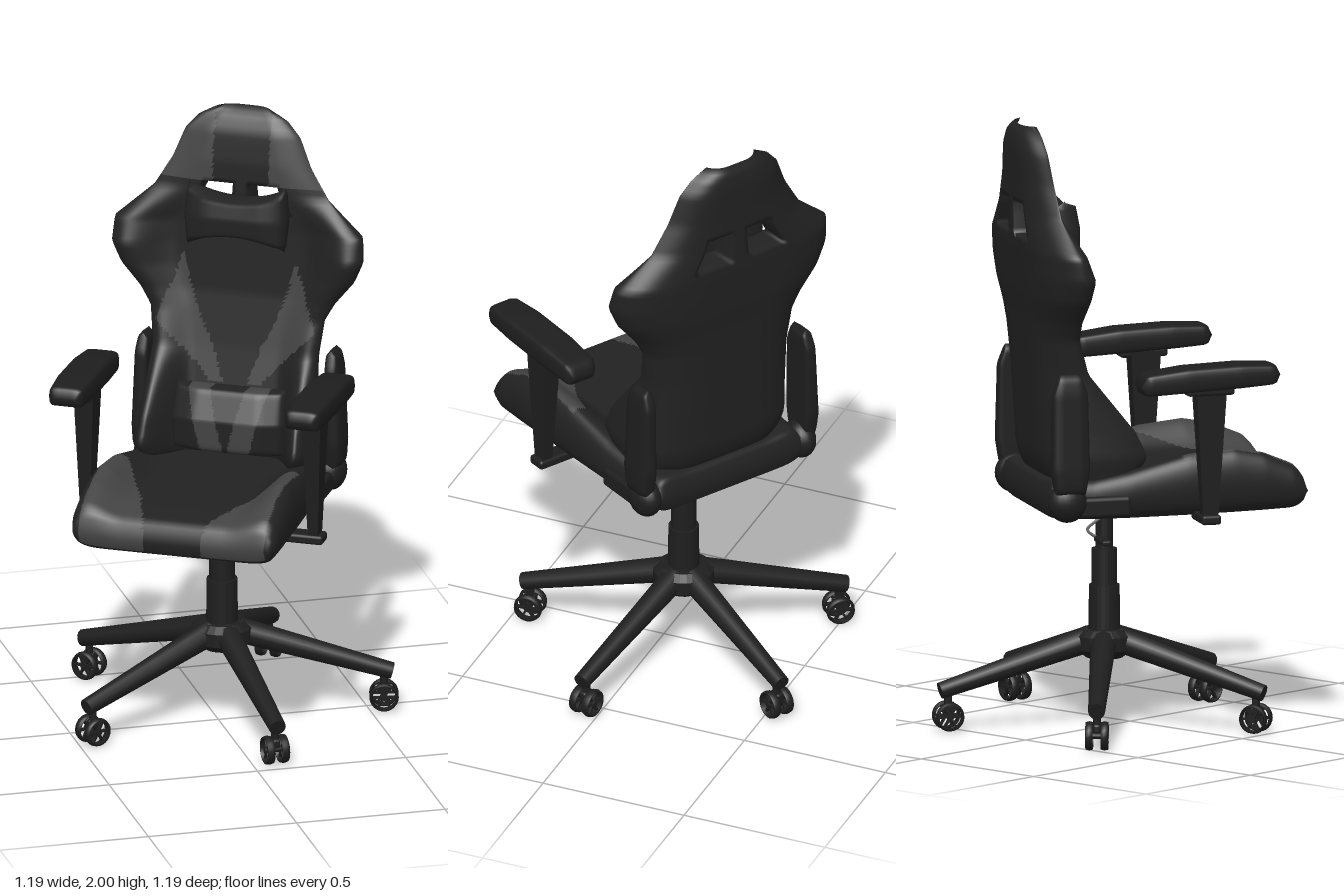
import * as THREE from 'three';
import { mergeVertices } from 'three/addons/utils/BufferGeometryUtils.js';
import { RoundedBoxGeometry } from 'three/addons/geometries/RoundedBoxGeometry.js';

const material = (name, color) => Object.assign(new THREE.MeshStandardMaterial({ color }), { name });
const upholstery = material('black upholstery', 0x222222);
const accent = material('grey accent fabric', 0x444444);
const plastic = material('black plastic', 0x1e1e1e);
const steel = material('grey steel', 0x6a6a6a);

function add(parent, name, geometry, mat, x = 0, y = 0, z = 0) {
  const mesh = new THREE.Mesh(geometry, mat);
  mesh.name = name;
  mesh.position.set(x, y, z);
  parent.add(mesh);
  return mesh;
}

// Linear lookup of column c in a table whose first column is the key
function lookup(table, w, c) {
  let i = 0;
  while (i < table.length - 2 && w > table[i + 1][0]) i++;
  const a = table[i], b = table[i + 1];
  return THREE.MathUtils.lerp(a[c], b[c], THREE.MathUtils.clamp((w - a[0]) / (b[0] - a[0]), 0, 1));
}

// Padded panel lofted along y. Rows: [y, half width, back z, middle front z, side front z]
function panel(table, { cols = 32, rows = 38, bow = 0, blunt = 20, hole = () => false } = {}) {
  const pos = [], index = [];
  const y0 = table[0][0], y1 = table[table.length - 1][0];
  for (let k = 0; k <= rows; k++) {
    const y = THREE.MathUtils.lerp(y0, y1, k / rows);
    const end = Math.sqrt(1 - Math.abs(1 - 2 * k / rows) ** blunt);
    for (let i = 0; i <= cols; i++) {
      const t = 2 * i / cols - 1;
      const s = t * (1.5 - 0.5 * t * t);
      const back = lookup(table, y, 2) + bow * s ** 4;
      const front = THREE.MathUtils.lerp(lookup(table, y, 3), lookup(table, y, 4),
        THREE.MathUtils.smoothstep(Math.abs(s), 0.5, 0.92));
      const mid = (back + front) / 2;
      const half = (front - back) / 2 * end * Math.sqrt(Math.max(0, 1 - s ** 14));
      const x = s * lookup(table, y, 1);
      pos.push(x, y, mid + half, x, y, mid - half);
    }
  }
  const v = (i, k) => 2 * (k * (cols + 1) + i);
  for (let k = 0; k < rows; k++) for (let i = 0; i < cols; i++) {
    const c = [v(i, k), v(i + 1, k), v(i + 1, k + 1), v(i, k + 1)];
    if (!hole(i, k)) {
      index.push(c[0], c[1], c[2], c[0], c[2], c[3]);
      index.push(c[0] + 1, c[2] + 1, c[1] + 1, c[0] + 1, c[3] + 1, c[2] + 1);
      continue;
    }
    // Walls of an opening
    [[0, -1], [1, 0], [0, 1], [-1, 0]].forEach(([di, dk], e) => {
      if (hole(i + di, k + dk)) return;
      const p = c[e], q = c[(e + 1) % 4];
      index.push(p + 1, p, q, p + 1, q, q + 1);
    });
  }
  const geo = new THREE.BufferGeometry();
  geo.setAttribute('position', new THREE.Float32BufferAttribute(pos, 3));
  geo.setIndex(index);
  const merged = mergeVertices(geo);
  merged.computeVertexNormals();
  return merged;
}

// Split faces in two material groups by a rule on their centre and normal
function paint(geo, isAccent) {
  const sets = [[], []], p = geo.attributes.position, idx = geo.index.array;
  const tri = new THREE.Triangle(), c = new THREE.Vector3(), n = new THREE.Vector3();
  for (let f = 0; f < idx.length; f += 3) {
    tri.setFromAttributeAndIndices(p, idx[f], idx[f + 1], idx[f + 2]);
    tri.getMidpoint(c);
    tri.getNormal(n);
    sets[isAccent(c, n) ? 1 : 0].push(idx[f], idx[f + 1], idx[f + 2]);
  }
  geo.setIndex([...sets[0], ...sets[1]]);
  geo.addGroup(0, sets[0].length, 0);
  geo.addGroup(sets[0].length, sets[1].length, 1);
  return geo;
}
const fabrics = [upholstery, accent];

function buildBackrest(chair) {
  const profile = [
    [0.82, 0.275, -0.25, -0.10, 0.0], [0.86, 0.285, -0.25, -0.10, 0.06], [0.92, 0.295, -0.26, -0.11, 0.09],
    [1.0, 0.29, -0.265, -0.13, 0.05], [1.2, 0.28, -0.28, -0.17, -0.12], [1.32, 0.295, -0.29, -0.19, -0.155],
    [1.38, 0.33, -0.295, -0.2, -0.155], [1.46, 0.395, -0.305, -0.205, -0.14], [1.53, 0.425, -0.31, -0.21, -0.13],
    [1.61, 0.42, -0.315, -0.215, -0.16], [1.72, 0.295, -0.315, -0.215, -0.22], [1.82, 0.235, -0.315, -0.22, -0.235],
    [1.92, 0.195, -0.32, -0.235, -0.25], [1.97, 0.15, -0.32, -0.255, -0.265], [2.0, 0.095, -0.315, -0.275, -0.275]];
  // Pair of strap openings below the head section
  const hole = (i, k) => k >= 53 && k < 60 && ((i >= 34 && i < 42) || (i >= 22 && i < 30));
  const inner = [[1.08, 0.04], [1.2, 0.08], [1.3, 0.13], [1.4, 0.165], [1.5, 0.19]];
  const outer = [[1.08, 0.08], [1.2, 0.19], [1.28, 0.27], [1.34, 0.25], [1.4, 0.225], [1.5, 0.19]];
  const geo = paint(panel(profile, { cols: 64, rows: 76, bow: 0.075, hole }), (c, n) => {
    const u = Math.abs(c.x);
    if (n.z < 0.25) return false;
    if (c.y > 1.75) return u > 0.095;
    return c.y > 1.08 && c.y < 1.5 && u > lookup(inner, c.y, 1) && u < lookup(outer, c.y, 1);
  });
  add(chair, 'backrest', geo, fabrics);

  // Head pillow, pinched in the middle
  const head = panel([[-0.105, 0.165, -0.05, 0.05, 0.04], [0, 0.175, -0.055, 0.06, 0.045], [0.105, 0.165, -0.05, 0.05, 0.04]],
    { cols: 20, rows: 14 });
  const p = head.attributes.position;
  for (let i = 0; i < p.count; i++) p.setY(i, p.getY(i) * (0.64 + 0.42 * (p.getX(i) / 0.175) ** 2));
  head.computeVertexNormals();
  add(chair, 'headPillow', head, upholstery, 0, 1.655, -0.17).rotation.x = -0.08;

  const lumbar = panel([[-0.11, 0.185, -0.05, 0.05, 0.03], [0, 0.195, -0.06, 0.07, 0.05], [0.11, 0.185, -0.05, 0.04, 0.02]],
    { cols: 60, rows: 32 });
  paint(lumbar, (c, n) => n.z > -0.2 && Math.abs(Math.abs(c.x) - 0.07 - 0.25 * c.y) < 0.038);
  add(chair, 'lumbarPillow', lumbar, fabrics, 0, 0.98, -0.09).rotation.x = -0.12;
}

function buildSeat(chair) {
  // Rows run front to rear; depth values are heights
  const profile = [
    [-0.595, 0.335, 0.74, 0.83, 0.85], [-0.55, 0.348, 0.732, 0.855, 0.89], [-0.45, 0.35, 0.728, 0.862, 0.935],
    [-0.35, 0.347, 0.725, 0.86, 0.955], [-0.2, 0.34, 0.722, 0.855, 0.94], [0, 0.325, 0.72, 0.85, 0.885],
    [0.12, 0.31, 0.72, 0.85, 0.86], [0.27, 0.29, 0.725, 0.85, 0.86]];
  const edge = [[0.19, 0.26], [0.3, 0.205], [0.39, 0.16], [0.44, 0.15], [0.53, 0.115], [0.59, 0.1]];
  const geo = paint(panel(profile, { cols: 72, rows: 80, blunt: 36 }), (c, n) => {
    const u = Math.abs(c.x), v = -c.y;
    return v > 0.18 && u > lookup(edge, v, 1) && u < 0.315 && n.z > -0.4 && Math.abs(n.x) < 0.85;
  });
  add(chair, 'seat', geo, fabrics).rotation.x = -Math.PI / 2;
}

function buildSide(chair, side) {
  const group = new THREE.Group();
  group.name = side > 0 ? 'leftSide' : 'rightSide';
  chair.add(group);
  // Armrest
  const pad = panel([[-0.235, 0.042, 1.178, 1.232, 1.23], [-0.215, 0.058, 1.172, 1.238, 1.235], [-0.1, 0.065, 1.165, 1.243, 1.24],
    [0.08, 0.065, 1.157, 1.237, 1.234], [0.215, 0.058, 1.15, 1.22, 1.218], [0.235, 0.042, 1.15, 1.212, 1.21]],
  { cols: 24, rows: 36, blunt: 30 });
  add(group, 'armrestPad', pad, plastic, side * 0.4, 0, 0.235).rotation.x = -Math.PI / 2;
  add(group, 'armrestPlate', new RoundedBoxGeometry(0.075, 0.03, 0.16, 2, 0.01), plastic, side * 0.392, 1.155, 0.24);
  const post = new THREE.CylinderGeometry(0.062, 0.032, 0.42, 4, 1).rotateY(Math.PI / 4).toNonIndexed();
  post.scale(0.75, 1, 1.15);
  post.computeVertexNormals();
  add(group, 'armrestPost', post, plastic, side * 0.386, 0.95, 0.245);
  add(group, 'armrestFoot', new RoundedBoxGeometry(0.14, 0.032, 0.065, 2, 0.01), plastic, side * 0.35, 0.727, 0.245);
  // Recline bracket and its covers
  const cover = panel([[0.81, 0.05, -0.02, 0.035, 0.03], [0.9, 0.065, -0.02, 0.037, 0.032],
    [1.15, 0.06, -0.02, 0.027, 0.022], [1.215, 0.035, -0.02, 0.017, 0.017]], { cols: 20, rows: 28 });
  add(group, 'reclineCover', cover, plastic, side * 0.32, 0, -0.21).rotation.y = side * Math.PI / 2;
  add(group, 'hingeCover', new THREE.SphereGeometry(0.066, 20, 14), plastic, side * 0.31, 0.79, -0.215).scale.x = 0.75;
  add(group, 'hingeRail', new RoundedBoxGeometry(0.04, 0.07, 0.24, 2, 0.015), plastic, side * 0.31, 0.77, -0.12);
}

function buildCaster(leg) {
  const caster = new THREE.Group();
  caster.name = 'caster';
  caster.position.set(0.528, 0.048, 0);
  leg.add(caster);
  add(caster, 'casterStem', new THREE.CylinderGeometry(0.013, 0.013, 0.08, 10), plastic, 0, 0.05, 0);
  add(caster, 'casterFork', new RoundedBoxGeometry(0.045, 0.03, 0.025, 2, 0.008), plastic, 0, 0.025, 0);
  add(caster, 'casterAxle', new THREE.CylinderGeometry(0.01, 0.01, 0.074, 10).rotateX(Math.PI / 2), plastic);
  for (const z of [-0.025, 0.025]) {
    const rim = new THREE.LatheGeometry([[0.039, -0.012], [0.045, -0.012], [0.048, 0], [0.045, 0.012], [0.039, 0.012], [0.039, -0.012]]
      .map(([r, h]) => new THREE.Vector2(r, h)), 24).rotateX(Math.PI / 2);
    add(caster, 'wheelRim', rim, plastic, 0, 0, z);
    for (let i = 0; i < 3; i++)
      add(caster, 'wheelSpoke', new THREE.BoxGeometry(0.082, 0.007, 0.012), plastic, 0, 0, z).rotation.z = i * Math.PI / 3;
  }
}

function buildBase(base) {
  // Stepped gas column on a hub
  const column = [[0, 0.22], [0.06, 0.22], [0.1, 0.25], [0.1, 0.295], [0.075, 0.315], [0.052, 0.315], [0.05, 0.46],
    [0.042, 0.46], [0.042, 0.58], [0.028, 0.58], [0.028, 0.74], [0, 0.74]];
  const geo = new THREE.LatheGeometry(column.map(([r, y]) => new THREE.Vector2(r, y)), 24).toNonIndexed();
  geo.computeVertexNormals();
  add(base, 'gasColumn', geo, plastic);
  for (let i = 0; i < 5; i++) {
    const leg = new THREE.Group();
    leg.name = 'baseLeg';
    leg.rotation.y = -THREE.MathUtils.degToRad(13.7 + 72 * i);
    base.add(leg);
    const from = new THREE.Vector3(0.05, 0.28, 0), to = new THREE.Vector3(0.555, 0.132, 0);
    const spoke = new THREE.CylinderGeometry(0.028, 0.043, from.distanceTo(to), 12);
    const mesh = add(leg, 'legSpoke', spoke, plastic);
    mesh.position.lerpVectors(from, to, 0.5);
    mesh.quaternion.setFromUnitVectors(new THREE.Vector3(0, 1, 0), to.clone().sub(from).normalize());
    buildCaster(leg);
  }
}

function buildMechanism(chair) {
  add(chair, 'tiltHousing', new RoundedBoxGeometry(0.2, 0.05, 0.3, 2, 0.015), plastic, 0, 0.735, 0);
  add(chair, 'tiltPlate', new THREE.BoxGeometry(0.34, 0.02, 0.22), plastic, 0, 0.722, 0.02);
  const path = new THREE.CatmullRomCurve3([[-0.02, 0.69, -0.01], [-0.04, 0.662, -0.06], [-0.12, 0.66, -0.09], [-0.28, 0.66, -0.1]]
    .map(p => new THREE.Vector3(...p)));
  add(chair, 'heightLever', new THREE.TubeGeometry(path, 20, 0.005, 8), steel);
  add(chair, 'leverHandle', new RoundedBoxGeometry(0.11, 0.018, 0.03, 2, 0.007), plastic, -0.325, 0.66, -0.1);
}

export function createModel() {
  const model = new THREE.Group();
  model.name = 'officeChair';
  const base = new THREE.Group(), chair = new THREE.Group();
  base.name = 'base';
  chair.name = 'swivelSeat';
  for (const part of [base, chair]) {
    part.position.set(0.035, 0, -0.085);
    model.add(part);
  }
  chair.rotation.y = -0.54;
  buildBase(base);
  buildMechanism(chair);
  buildSeat(chair);
  buildBackrest(chair);
  for (const side of [-1, 1]) buildSide(chair, side);
  return model;
}
